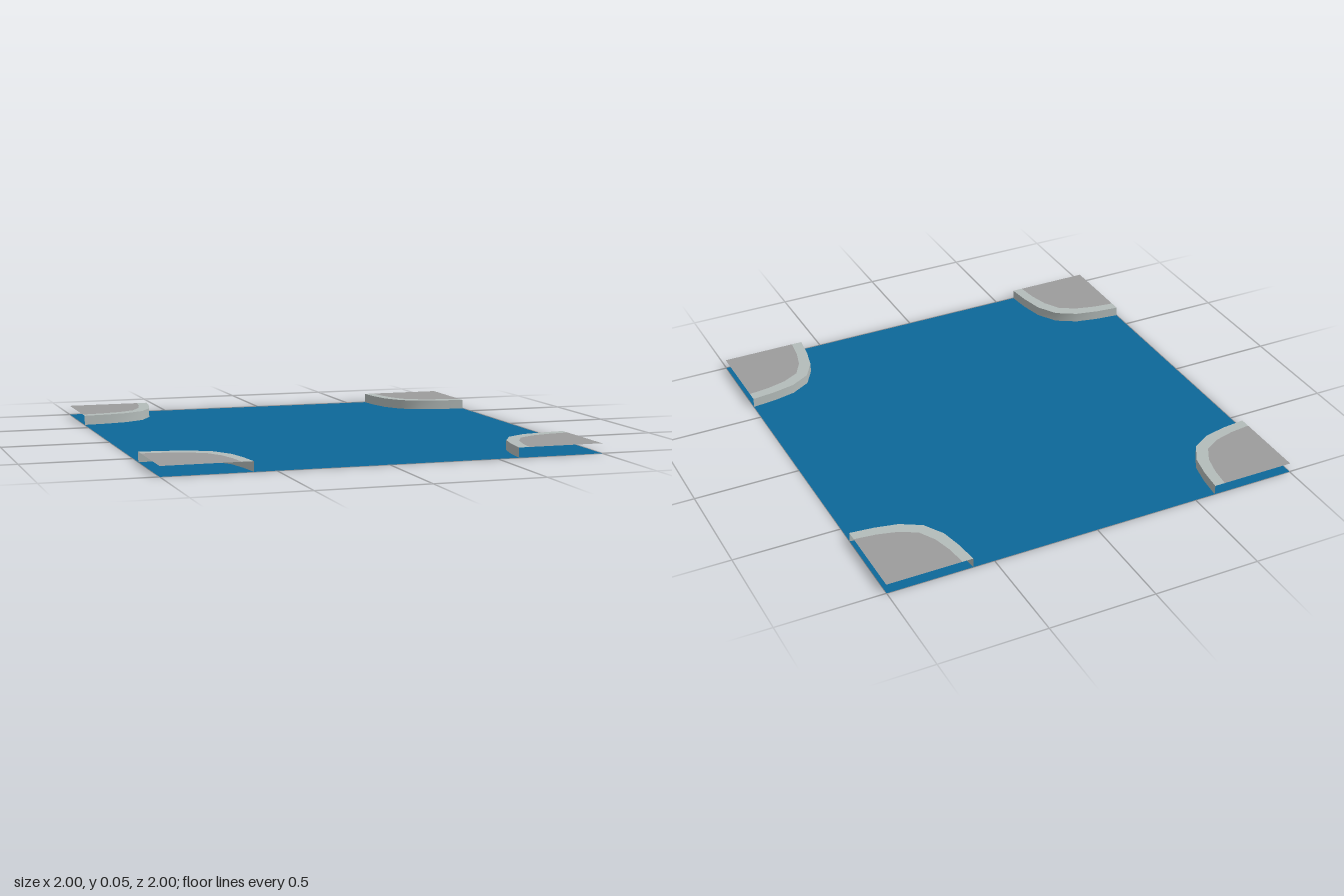
import * as THREE from 'three';

const HEIGHT = 0.045;

const material = (color) => new THREE.MeshStandardMaterial({ color, side: THREE.DoubleSide });

// Quarter curve as distances [u, v] from a tile corner, mirrored about its diagonal
function quarter(half) {
  const mirrored = half.slice(0, -1).reverse().map(([u, v]) => [v, u]);
  return [...half, ...mirrored];
}

const outer = quarter([[0.4, 0], [0.388, 0.11], [0.365, 0.217], [0.31, 0.31]]);
const inner = quarter([[0.35, 0], [0.338, 0.1], [0.314, 0.192], [0.27, 0.27]]);

// Smooth strip of quads between two curves at their own heights
function strip(a, ya, b, yb) {
  const positions = [], index = [];
  a.forEach(([u, v], i) => {
    positions.push(1 - u, ya, 1 - v, 1 - b[i][0], yb, 1 - b[i][1]);
    if (i > 0) {
      const k = 2 * (i - 1);
      index.push(k, k + 1, k + 2, k + 2, k + 1, k + 3);
    }
  });
  const geometry = new THREE.BufferGeometry();
  geometry.setAttribute('position', new THREE.Float32BufferAttribute(positions, 3));
  geometry.setIndex(index);
  geometry.computeVertexNormals();
  return geometry;
}

// Flat paved area inside the curb
function pavingGeometry() {
  const points = [[0, 0], ...inner].map(([u, v]) => new THREE.Vector2(1 - u, v - 1));
  return new THREE.ShapeGeometry(new THREE.Shape(points)).rotateX(-Math.PI / 2).translate(0, HEIGHT, 0);
}

export function createModel() {
  const model = new THREE.Group();
  model.name = 'crossroadTile';

  const add = (parent, name, geometry, mat) => {
    const mesh = new THREE.Mesh(geometry, mat);
    mesh.name = name;
    parent.add(mesh);
  };

  // Road sheet under the whole tile
  add(model, 'road', new THREE.PlaneGeometry(2, 2).rotateX(-Math.PI / 2), material(0x0d6899));

  // Four raised pavement corners, open along the tile edges
  const curbMaterial = material(0xb4bcba);
  const pavingMaterial = material(0x9c9c9c);
  const wall = strip(outer, 0, outer, HEIGHT);
  const rim = strip(outer, HEIGHT, inner, HEIGHT);
  const paving = pavingGeometry();
  ['frontLeft', 'backLeft', 'backRight', 'frontRight'].forEach((place, i) => {
    const corner = new THREE.Group();
    corner.name = `${place}Pavement`;
    corner.rotation.y = i * Math.PI / 2;
    add(corner, 'curbWall', wall, curbMaterial);
    add(corner, 'curbTop', rim, curbMaterial);
    add(corner, 'paving', paving, pavingMaterial);
    model.add(corner);
  });

  return model;
}
